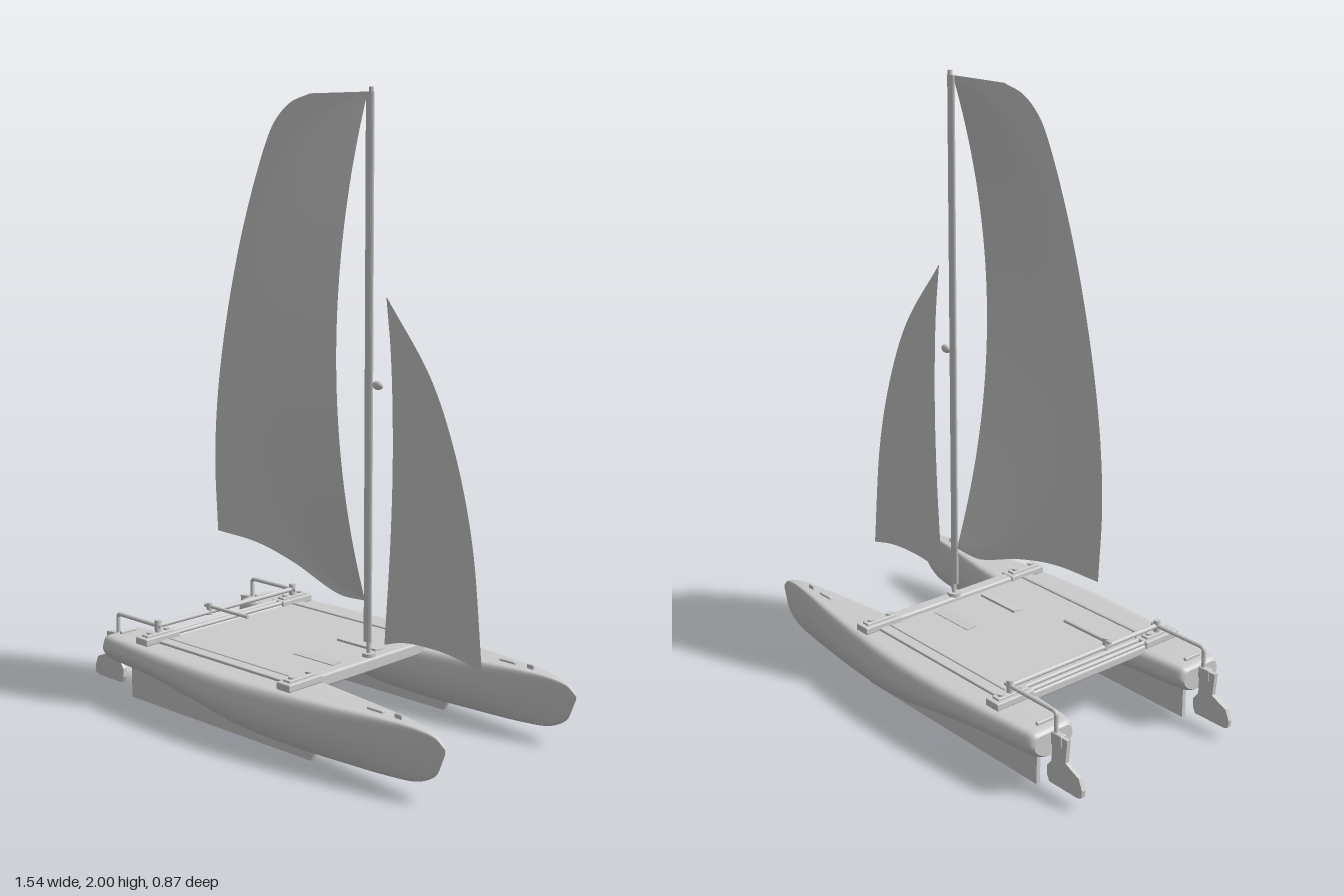
import * as THREE from 'three';
import { RoundedBoxGeometry } from 'three/addons/geometries/RoundedBoxGeometry.js';

const grey = new THREE.MeshStandardMaterial({ color: 0xcccccc });
const cloth = new THREE.MeshStandardMaterial({ color: 0xcccccc, side: THREE.DoubleSide });

function add(parent, name, geometry, x = 0, y = 0, z = 0, material = grey) {
  const mesh = new THREE.Mesh(geometry, material);
  mesh.name = name;
  mesh.position.set(x, y, z);
  parent.add(mesh);
  return mesh;
}
const box = (w, h, d) => new THREE.BoxGeometry(w, h, d);
const rounded = (w, h, d, r = 0.004) => new RoundedBoxGeometry(w, h, d, 2, r);
const rod = (r, len) => new THREE.CylinderGeometry(r, r, len, 16);
const spline = pts => new THREE.CatmullRomCurve3(pts.map(p => new THREE.Vector3(p[0], p[1], 0)), false, 'centripetal');

// Piecewise-linear lookup with smooth interpolation from stations
function hullStations() {
  // x, half width, bottom y, top y
  return spline4([
    [-0.645, 0.074, 0.135, 0.208], [-0.635, 0.083, 0.128, 0.217], [-0.6, 0.09, 0.124, 0.221],
    [-0.4, 0.109, 0.117, 0.222], [-0.2, 0.121, 0.09, 0.222], [0, 0.122, 0.055, 0.222],
    [0.2, 0.105, 0.042, 0.222], [0.4, 0.076, 0.04, 0.221], [0.58, 0.042, 0.043, 0.22],
    [0.68, 0.022, 0.055, 0.214], [0.74, 0.009, 0.09, 0.2], [0.77, 0.001, 0.16, 0.172],
  ], 60);
}
function spline4(rows, n) {
  const a = new THREE.CatmullRomCurve3(rows.map(r => new THREE.Vector3(r[0], r[1], 0)));
  const b = new THREE.CatmullRomCurve3(rows.map(r => new THREE.Vector3(r[0], r[2], r[3])));
  return Array.from({ length: n + 1 }, (_, i) => {
    const p = a.getPoint(i / n), q = b.getPoint(i / n);
    return [p.x, p.y, q.y, q.z];
  });
}

// Hull lofted from one cross-section scaled along the stations
function hullGeometry() {
  const half = spline([[0, 0], [0.3, 0.015], [0.58, 0.09], [0.86, 0.28], [1, 0.54], [0.96, 0.76], [0.88, 0.92], [0.76, 0.99], [0.4, 1], [0, 1.005]]).getPoints(26);
  const ring = [...half.map(p => [p.x, p.y]), ...half.slice(1, -1).reverse().map(p => [-p.x, p.y])];
  const st = hullStations(), m = ring.length, pos = [], idx = [];
  for (const [x, w, lo, hi] of st)
    for (const [u, v] of ring) pos.push(x, lo + (hi - lo) * v, w * u);
  for (let i = 0; i < st.length - 1; i++)
    for (let j = 0; j < m; j++) {
      const a = i * m + j, b = i * m + (j + 1) % m;
      idx.push(a, a + m, b, b, a + m, b + m);
    }
  // Transom and bow caps with their own vertices
  for (const end of [0, st.length - 1]) {
    const [x, w, lo, hi] = st[end], c = pos.length / 3;
    pos.push(x, (lo + hi) / 2, 0);
    for (const [u, v] of ring) pos.push(x, lo + (hi - lo) * v, w * u);
    for (let j = 0; j < m; j++) {
      const a = c + 1 + j, b = c + 1 + (j + 1) % m;
      if (end) idx.push(c, b, a); else idx.push(c, a, b);
    }
  }
  const g = new THREE.BufferGeometry();
  g.setAttribute('position', new THREE.Float32BufferAttribute(pos, 3));
  g.setIndex(idx);
  g.computeVertexNormals();
  return g;
}

// Sail surface blended between four edge curves, with an optional belly in z
function sailGeometry(foot, head, aft, fore, belly = () => 0) {
  const [F, H, A, R] = [foot, head, aft, fore].map(spline);
  const g = new THREE.PlaneGeometry(1, 1, 48, 64), p = g.attributes.position;
  const f0 = F.getPoint(0), f1 = F.getPoint(1), h0 = H.getPoint(0), h1 = H.getPoint(1);
  for (let i = 0; i < p.count; i++) {
    const s = p.getX(i) + 0.5, t = p.getY(i) + 0.5;
    const q = F.getPoint(s).multiplyScalar(1 - t).addScaledVector(H.getPoint(s), t)
      .addScaledVector(A.getPoint(t), 1 - s).addScaledVector(R.getPoint(t), s)
      .addScaledVector(f0, -(1 - s) * (1 - t)).addScaledVector(f1, -s * (1 - t))
      .addScaledVector(h0, -(1 - s) * t).addScaledVector(h1, -s * t);
    p.setXYZ(i, q.x, q.y, belly(q.x, q.y));
  }
  g.computeVertexNormals();
  return g;
}

function mainBelly(x, y) {
  const v = (y - 1.2) / 0.77, k = 1 - v * v;
  if (k <= 0) return 0;
  const u = Math.min(1, (0.18 - x) / 0.61 / Math.sqrt(k));
  return 0.13 * k * 0.5 * (1 + Math.cos(Math.PI * u));
}

function plate(points, depth) {
  const g = new THREE.ExtrudeGeometry(new THREE.Shape(points.map(p => new THREE.Vector2(...p))), { depth, bevelEnabled: false });
  return g.translate(0, 0, -depth / 2);
}

export function createModel() {
  const model = new THREE.Group();
  model.name = 'catamaran';
  const hullGeo = hullGeometry();

  for (const side of [1, -1]) {
    const g = new THREE.Group();
    g.name = side > 0 ? 'leftHullGroup' : 'rightHullGroup';
    g.position.z = side * 0.311;
    model.add(g);
    add(g, 'hull', hullGeo);
    // Long shallow keel under the rear of the hull
    add(g, 'keel', plate([[-0.58, 0.003], [0.255, 0.003], [0.268, 0.03], [0.268, 0.06], [0, 0.08], [-0.2, 0.11], [-0.58, 0.14]], 0.014));
    // Deck fittings
    add(g, 'sternHandle', rounded(0.012, 0.012, 0.065), -0.605, 0.225, 0);
    add(g, 'deckSlot', rounded(0.062, 0.01, 0.014), 0.51, 0.224, 0);
    add(g, 'bowCleat', rounded(0.026, 0.018, 0.008, 0.003), 0.597, 0.225, 0);
    // Rudder with stock and tiller
    add(g, 'rudder', plate([[-0.71, 0.205], [-0.703, 0.13], [-0.725, 0.12], [-0.76, 0.105], [-0.775, 0.07], [-0.772, 0.047], [-0.755, 0.04],
      [-0.635, 0.04], [-0.625, 0.06], [-0.625, 0.09], [-0.645, 0.115], [-0.642, 0.205]], 0.014));
    add(g, 'rudderHead', rounded(0.05, 0.04, 0.022), -0.662, 0.19, 0);
    const tiller = new THREE.CurvePath();
    const P = (x, y) => new THREE.Vector3(x, y, 0);
    tiller.add(new THREE.LineCurve3(P(-0.655, 0.19), P(-0.655, 0.262)));
    tiller.add(new THREE.QuadraticBezierCurve3(P(-0.655, 0.262), P(-0.655, 0.275), P(-0.64, 0.275)));
    tiller.add(new THREE.LineCurve3(P(-0.64, 0.275), P(-0.43, 0.275)));
    add(g, 'tiller', new THREE.TubeGeometry(tiller, 60, 0.007, 10));
    add(g, 'tillerJoint', rod(0.011, 0.045), -0.45, 0.272, 0);
    // Beam mounting pads with bolts
    for (const x of [-0.45, 0.203]) {
      add(g, 'beamPad', rounded(0.056, 0.024, 0.145), x, 0.236, 0);
      add(g, 'padStrap', rounded(0.03, 0.01, 0.115, 0.003), x, 0.25, 0);
      for (const z of [-0.036, 0.036]) add(g, 'padBolt', rod(0.01, 0.008), x, 0.257, z);
    }
  }

  // Crossbeams
  add(model, 'frontBeam', rounded(0.046, 0.042, 0.6, 0.008), 0.203, 0.224, 0);
  add(model, 'rearBeam', rounded(0.046, 0.032, 0.6, 0.008), -0.45, 0.22, 0);
  for (const x of [-0.462, -0.436])
    add(model, 'rearRail', rod(0.007, 0.62), x, 0.241, 0).rotation.x = Math.PI / 2;

  // Trampoline deck with edge rails and foot pockets
  add(model, 'trampoline', box(0.62, 0.006, 0.6), -0.122, 0.227, 0);
  for (const s of [1, -1]) {
    add(model, 'trampolineEdge', rounded(0.6, 0.01, 0.04), -0.122, 0.229, s * 0.312);
    add(model, 'lacing', rod(0.004, 0.6), -0.122, 0.232, s * 0.288).rotation.z = Math.PI / 2;
    add(model, 'pocket', box(0.17, 0.008, 0.038), 0.07, 0.231, s * 0.1).rotation.x = s * 0.12;
  }

  // Tiller crossbar and extension
  add(model, 'tillerBar', rod(0.008, 0.62), -0.45, 0.275, 0).rotation.x = Math.PI / 2;
  add(model, 'extensionJoint', rod(0.01, 0.04), -0.45, 0.285, 0.083);
  add(model, 'tillerExtension', rod(0.006, 0.21), -0.367, 0.294, 0.083).rotation.z = Math.PI / 2;

  // Mast: oval spar on a slimmer step, with head cap and forestay fitting
  add(model, 'mast', rod(1, 1.695), 0.195, 1.1375, 0).scale.set(0.016, 1, 0.008);
  add(model, 'mastCore', rod(0.008, 1.755), 0.2, 1.122, 0);
  add(model, 'mastStep', rod(0.022, 0.014), 0.2, 0.249, 0);
  add(model, 'mastFitting', new THREE.SphereGeometry(1, 20, 12), 0.231, 1.106, 0).scale.set(0.021, 0.014, 0.01);

  // Mainsail, bellied along its luff
  add(model, 'mainsail', sailGeometry(
    [[-0.495, 0.535], [-0.3, 0.525], [-0.13, 0.487], [0.07, 0.42], [0.18, 0.42]],
    [[-0.055, 1.985], [0.18, 1.985]],
    [[-0.495, 0.535], [-0.505, 0.81], [-0.47, 1.13], [-0.365, 1.55], [-0.24, 1.86], [-0.2, 1.915], [-0.14, 1.96], [-0.055, 1.985]],
    [[0.18, 0.42], [0.18, 1.985]], mainBelly), 0, 0, 0, cloth);

  // Jib, flat on the centreline
  add(model, 'jib', sailGeometry(
    [[0.265, 0.295], [0.34, 0.317], [0.45, 0.323], [0.55, 0.315], [0.65, 0.292]],
    [[0.264, 1.378], [0.268, 1.374]],
    [[0.265, 0.295], [0.288, 0.65], [0.294, 0.92], [0.284, 1.2], [0.264, 1.378]],
    [[0.65, 0.292], [0.605, 0.68], [0.535, 0.94], [0.44, 1.15], [0.268, 1.374]]), 0, 0, 0, cloth);

  return model;
}
